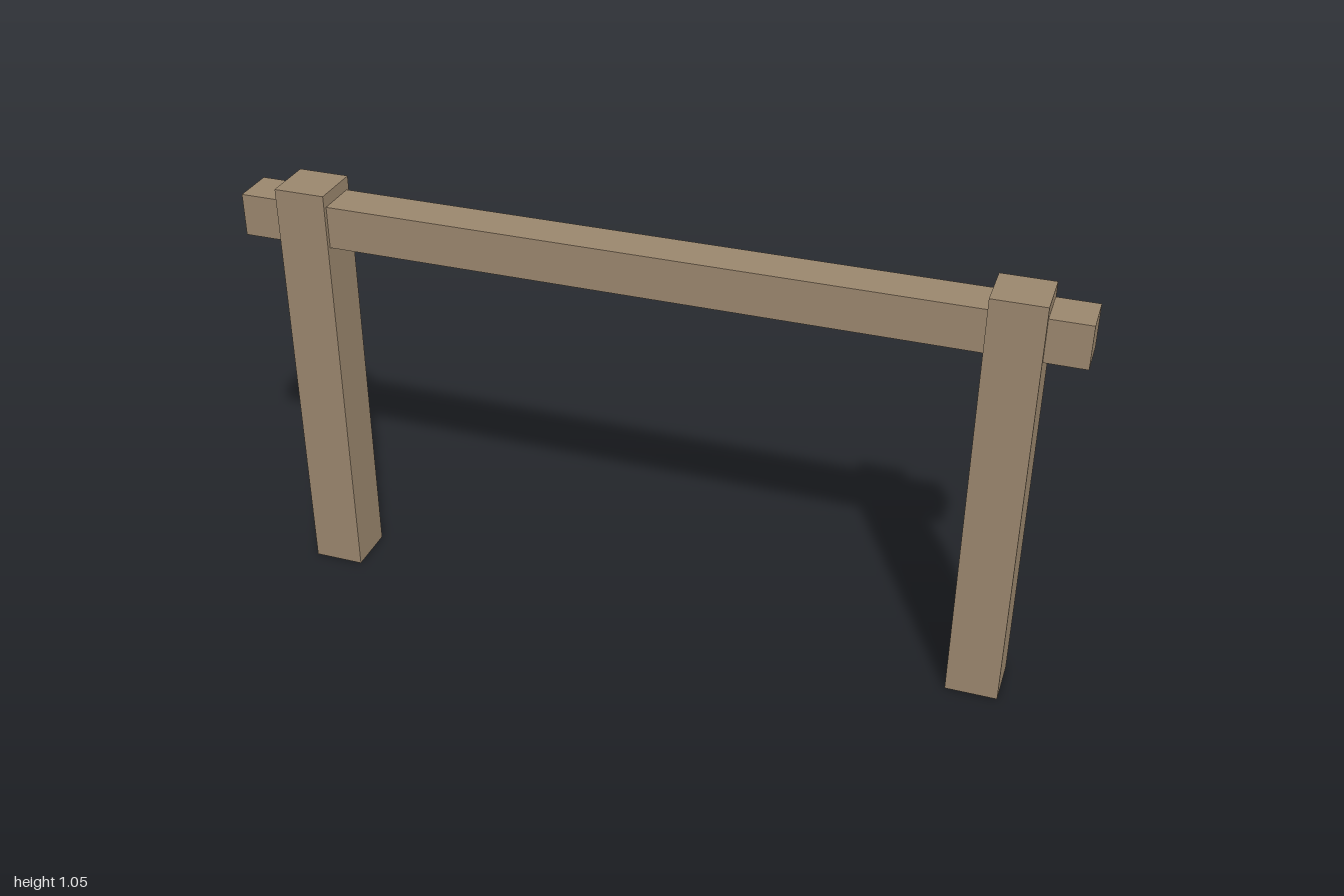
import * as THREE from 'three';

export function createModel() {
  const group = new THREE.Group();
  const wood = new THREE.MeshStandardMaterial({ color: 0x9a866d });

  const addBox = (name, size, position) => {
    const mesh = new THREE.Mesh(new THREE.BoxGeometry(...size), wood);
    mesh.name = name;
    mesh.position.set(...position);
    group.add(mesh);
  };

  // Two square posts, rising slightly above the beam
  const postHeight = 1.054;
  for (const [name, side] of [['leftPost', 1], ['rightPost', -1]]) {
    addBox(name, [0.126, postHeight, 0.126], [side * 0.84, postHeight / 2, 0]);
  }

  // Crossbeam running through both posts and overhanging at each end
  addBox('crossbeam', [2, 0.105, 0.105], [0, 0.97, 0]);

  return group;
}
